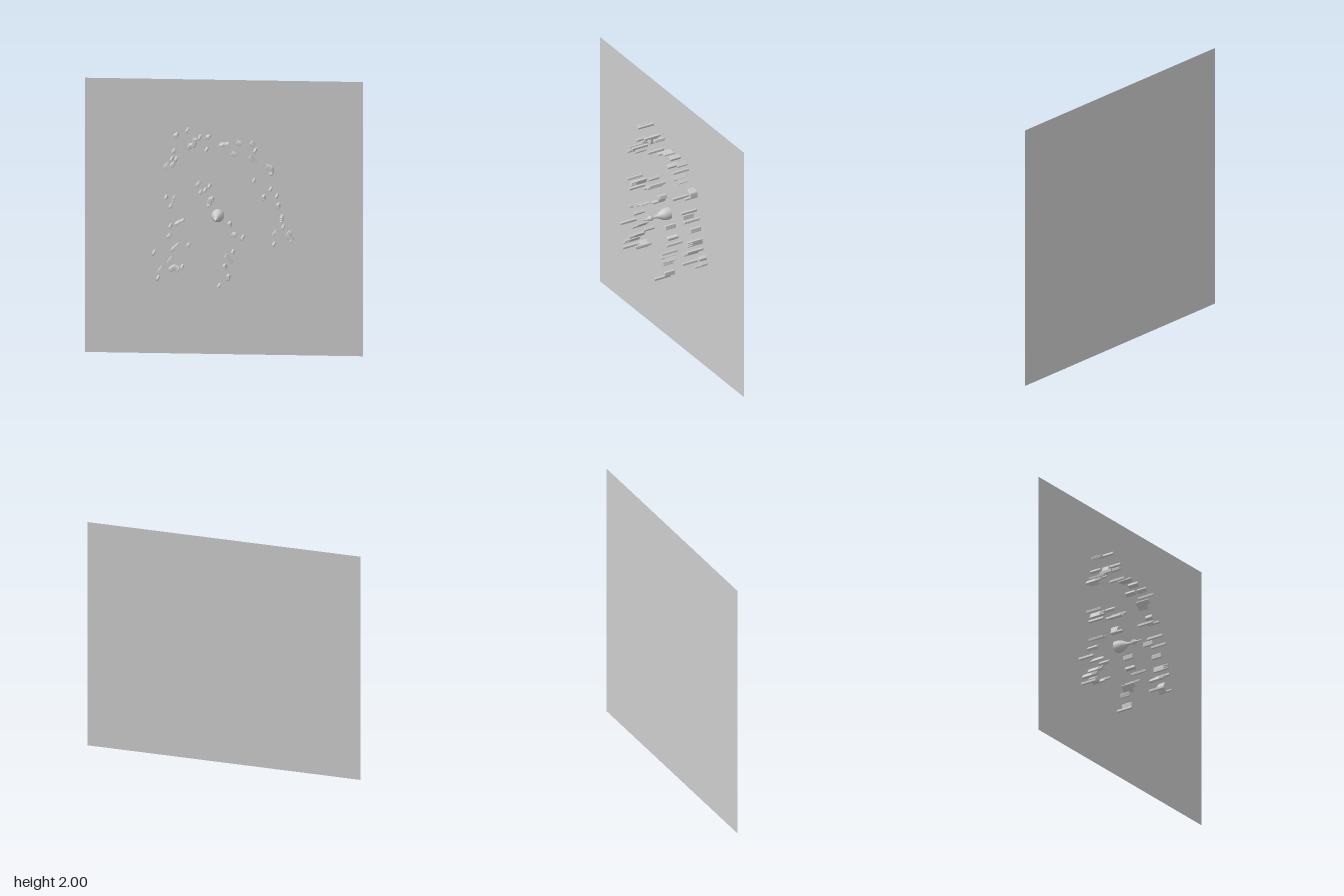
import * as THREE from 'three';
import { RoundedBoxGeometry } from 'three/addons/geometries/RoundedBoxGeometry.js';

const BACK = -0.115; // plane of the board
const grey = new THREE.MeshStandardMaterial({ color: 0xcccccc });
const boardGrey = new THREE.MeshStandardMaterial({ color: 0xcccccc, side: THREE.DoubleSide });

// Upright block standing on the board, turned by deg about z, reaching forward to top
function block(name, x, y, deg, w, h, top) {
  const depth = top - BACK;
  const mesh = new THREE.Mesh(new RoundedBoxGeometry(w, h, depth, 2, Math.min(w, h) * 0.18), grey);
  mesh.position.set(x, y, BACK + depth / 2);
  mesh.rotation.z = THREE.MathUtils.degToRad(deg);
  mesh.name = name;
  return mesh;
}

// Lathe profile of [radius, z] turned so that its axis points forward
function turned(name, profile, x, y) {
  const geo = new THREE.LatheGeometry(profile.map(([r, z]) => new THREE.Vector2(r, z)), 28);
  geo.rotateX(Math.PI / 2);
  const mesh = new THREE.Mesh(geo, grey);
  mesh.position.set(x, y, 0);
  mesh.name = name;
  return mesh;
}

// Bent piece through three points, with a narrow raised peg at its last end
function elbow([ax, ay, bx, by, cx, cy]) {
  const g = new THREE.Group();
  g.name = 'elbowPiece';
  const top = -0.055, width = 0.03;
  for (const [px, py] of [[ax, ay], [cx, cy]]) {
    const dx = px - bx, dy = py - by;
    const deg = THREE.MathUtils.radToDeg(Math.atan2(dy, dx));
    g.add(block('elbowArm', (px + bx) / 2, (py + by) / 2, deg, Math.hypot(dx, dy) + 0.01, width, top));
  }
  g.add(turned('elbowCorner', [[width / 2, BACK], [width / 2, top - 0.004], [width / 2 - 0.004, top], [0, top]], bx, by));
  const deg = THREE.MathUtils.radToDeg(Math.atan2(cy - by, cx - bx));
  g.add(block('elbowPeg', cx, cy, deg, 0.014, 0.024, -0.012));
  return g;
}

export function createModel() {
  const model = new THREE.Group();

  // Flat square board
  const board = new THREE.Mesh(new THREE.PlaneGeometry(2, 2), boardGrey);
  board.position.set(0, 1, BACK);
  board.name = 'board';
  model.add(board);

  // Tall small pegs: x, y
  const pegs = [
    [-0.26, 1.64], [-0.17, 1.59], [-0.12, 1.5], [0.23, 1.5], [-0.37, 1.43], [-0.34, 1.43],
    [0.22, 1.28], [-0.1, 1.235], [-0.13, 1.205], [-0.165, 1.19], [0.34, 1.22], [0.385, 1.17],
    [-0.41, 1.15], [-0.38, 1.085], [0.43, 0.945], [0.365, 0.82], [0.14, 0.865], [-0.38, 0.94],
    [-0.5, 0.745], [-0.47, 0.56], [-0.295, 0.645], [0.07, 0.76], [-0.03, 0.51],
  ];
  pegs.forEach(([x, y], i) => model.add(block('tallPeg', x, y, (i * 37) % 30 - 10, 0.018, 0.018, 0.015)));

  // Shorter oblong blocks: x, y, angle
  const oblongs = [
    [-0.34, 1.6, 25], [-0.11, 1.59, 15], [-0.355, 1.485, 45], [0.11, 1.55, -25],
    [0.075, 1.47, -30], [0.21, 1.545, -45], [-0.365, 1.385, 40], [-0.18, 1.245, 45],
    [0.29, 1.155, 100], [0.395, 1.095, 100], [0.045, 0.955, 100], [0.075, 0.88, -10],
    [-0.39, 0.865, 45], [-0.25, 0.8, 45], [0.01, 0.645, 110], [0.035, 0.57, 95],
  ];
  for (const [x, y, a] of oblongs) model.add(block('oblongBlock', x, y, a, 0.033, 0.022, -0.03));

  // Ribbed blocks: an oblong with a row of raised ribs
  const ribbed = [
    [-0.41, 1.38, 50], [-0.36, 1.135, 70], [0.42, 1.005, 92],
    [0.37, 0.9, 50], [-0.385, 0.69, 55], [-0.455, 0.62, 55],
  ];
  for (const [x, y, a] of ribbed) {
    const g = new THREE.Group();
    g.name = 'ribbedBlock';
    g.add(block('ribbedBase', 0, 0, 0, 0.04, 0.018, -0.03));
    for (const o of [-0.014, 0, 0.014]) g.add(block('rib', o, 0, 0, 0.008, 0.018, 0.012));
    g.position.set(x, y, 0);
    g.rotation.z = THREE.MathUtils.degToRad(a);
    model.add(g);
  }

  // Thin blades, one half higher than the other
  const blades = [
    [0.005, 1.54, 5], [0.215, 1.43, -45], [-0.315, 0.97, 25], [-0.345, 0.79, 42], [0.04, 0.705, -45],
  ];
  for (const [x, y, a] of blades) {
    const g = new THREE.Group();
    g.name = 'thinBlade';
    g.add(block('bladeLow', 0.017, 0, 0, 0.036, 0.01, -0.03));
    g.add(block('bladeHigh', -0.017, 0, 0, 0.036, 0.013, 0));
    g.position.set(x, y, 0);
    g.rotation.z = THREE.MathUtils.degToRad(a);
    model.add(g);
  }

  // Bent pieces: start, corner and end points
  const elbows = [
    [-0.205, 1.57, -0.215, 1.525, -0.245, 1.52],
    [0.31, 1.38, 0.342, 1.365, 0.345, 1.335],
    [-0.075, 1.137, -0.097, 1.13, -0.105, 1.095],
    [0.48, 0.905, 0.463, 0.878, 0.49, 0.848],
    [-0.385, 0.615, -0.358, 0.635, -0.325, 0.622],
  ];
  elbows.forEach((e) => model.add(elbow(e)));

  // Central turned piece: flared foot, neck, ball and pointed tip
  model.add(turned('centralSpire', [
    [0.045, BACK], [0.045, -0.085], [0.04, -0.065], [0.03, -0.045], [0.018, -0.025], [0.01, -0.005],
    [0.009, 0.018], [0.016, 0.026], [0.02, 0.04], [0.017, 0.053], [0.008, 0.062], [0.006, 0.09], [0, 0.115],
  ].reverse().map(([r, z]) => [r, z]).reverse(), -0.043, 1.012));

  return model;
}
